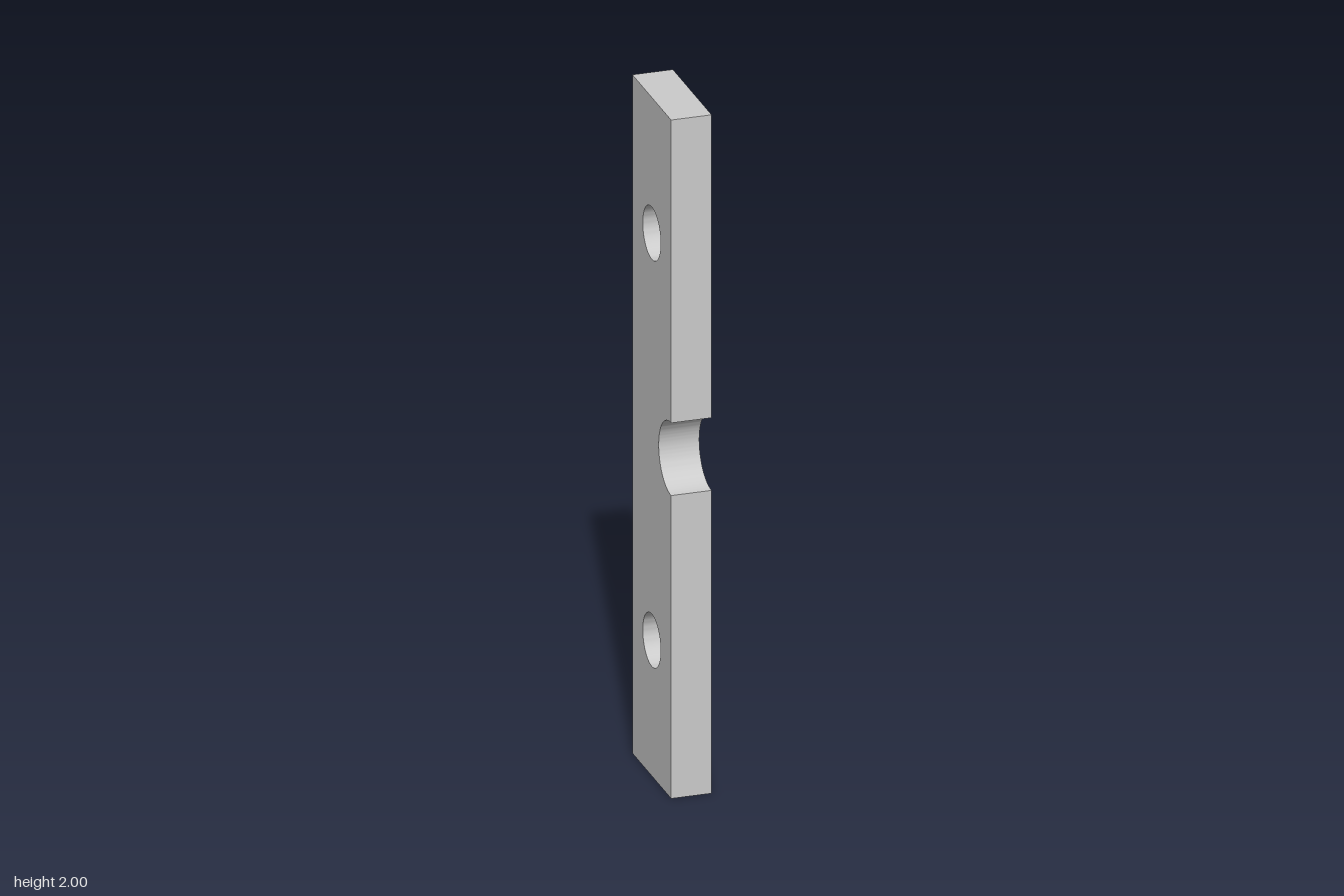
import * as THREE from 'three';
import { toCreasedNormals } from 'three/addons/utils/BufferGeometryUtils.js';

const HEIGHT = 2, HALF_WIDTH = 0.167, THICKNESS = 0.116;
const NOTCH_RADIUS = 0.107, HOLE_RADIUS = 0.077;

export function createModel() {
  const group = new THREE.Group();
  group.name = 'notchedPlate';

  // Side profile (shape x becomes z), with a half-round notch in the front edge
  const profile = new THREE.Shape();
  profile.moveTo(-HALF_WIDTH, 0);
  profile.lineTo(HALF_WIDTH, 0);
  profile.lineTo(HALF_WIDTH, HEIGHT / 2 - NOTCH_RADIUS);
  profile.absarc(HALF_WIDTH, HEIGHT / 2, NOTCH_RADIUS, -Math.PI / 2, Math.PI / 2, true);
  profile.lineTo(HALF_WIDTH, HEIGHT);
  profile.lineTo(-HALF_WIDTH, HEIGHT);
  profile.closePath();

  // Two bolt holes through the plate
  for (const y of [0.4, 1.6]) {
    const hole = new THREE.Path();
    hole.absarc(0, y, HOLE_RADIUS, 0, Math.PI * 2, true);
    profile.holes.push(hole);
  }

  // Plate, centred through its thickness and turned to face sideways
  const extruded = new THREE.ExtrudeGeometry(profile, {
    depth: THICKNESS, bevelEnabled: false, curveSegments: 32,
  });
  extruded.translate(0, 0, -THICKNESS / 2);
  extruded.rotateY(-Math.PI / 2);

  const plate = new THREE.Mesh(
    toCreasedNormals(extruded, 0.6),
    new THREE.MeshStandardMaterial({ color: 0xcccccc }),
  );
  plate.name = 'plate';
  group.add(plate);
  return group;
}
